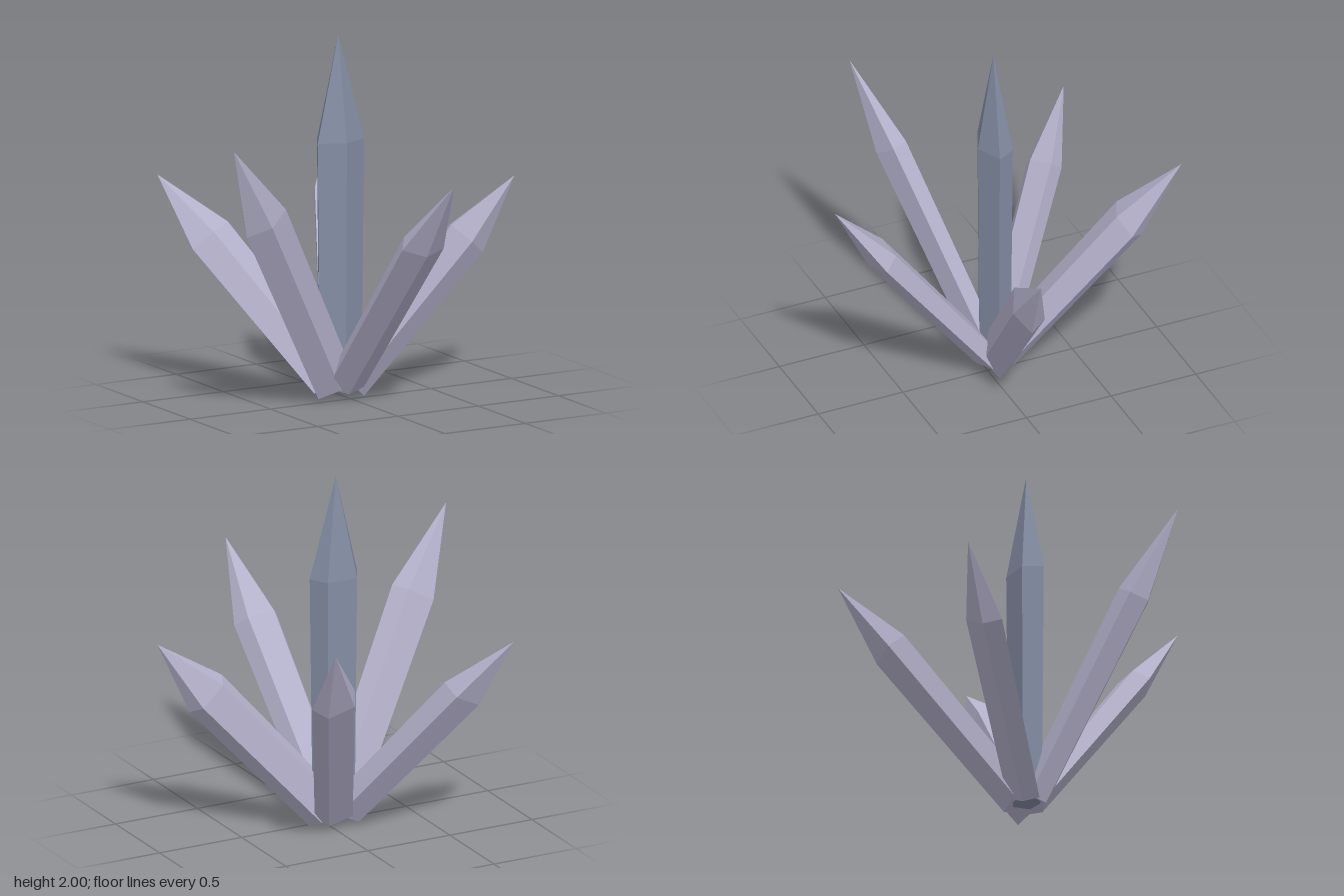
import * as THREE from 'three';

const UP = new THREE.Vector3(0, 1, 0);

// Five-sided flattened prism, slightly wider at the shoulder, with a long point
function crystal(name, material, base, tip, radius) {
  const from = new THREE.Vector3(...base);
  const axis = new THREE.Vector3(...tip).sub(from);
  const length = axis.length();
  const profile = [
    new THREE.Vector2(0, 0),
    new THREE.Vector2(radius * 0.89, 0),
    new THREE.Vector2(radius, length * 0.7),
    new THREE.Vector2(0, length),
  ];
  const geometry = new THREE.LatheGeometry(profile, 5);
  geometry.scale(1, 1, 0.6);
  const mesh = new THREE.Mesh(geometry, material);
  mesh.name = name;
  mesh.position.copy(from);
  mesh.quaternion.setFromUnitVectors(UP, axis.normalize());
  return mesh;
}

export function createModel() {
  const group = new THREE.Group();
  group.name = 'crystalCluster';

  const slate = new THREE.MeshStandardMaterial({ color: 0x848da4, flatShading: true });
  slate.name = 'slate blue';
  const lavender = new THREE.MeshStandardMaterial({ color: 0xb4b1cb, flatShading: true });
  lavender.name = 'pale lavender';

  // Tall upright shard
  group.add(crystal('centralCrystal', slate, [-0.045, 0.07, -0.055], [-0.045, 2, -0.055], 0.152));

  // Ring of leaning shards: name, base, tip, shoulder radius
  const leaning = [
    ['frontCrystal', [-0.035, 0.085, -0.01], [0.09, 1.34, 0.945], 0.137],
    ['leftCrystal', [0.01, 0.085, -0.045], [0.95, 1.15, 0.12], 0.141],
    ['backLeftCrystal', [-0.02, 0.085, -0.1], [0.435, 1.34, -0.945], 0.137],
    ['backRightCrystal', [-0.085, 0.085, -0.09], [-0.74, 1.17, -0.79], 0.141],
    ['rightCrystal', [-0.09, 0.085, -0.03], [-0.95, 1.54, 0.38], 0.142],
  ];
  for (const [name, base, tip, radius] of leaning) {
    group.add(crystal(name, lavender, base, tip, radius));
  }
  return group;
}
